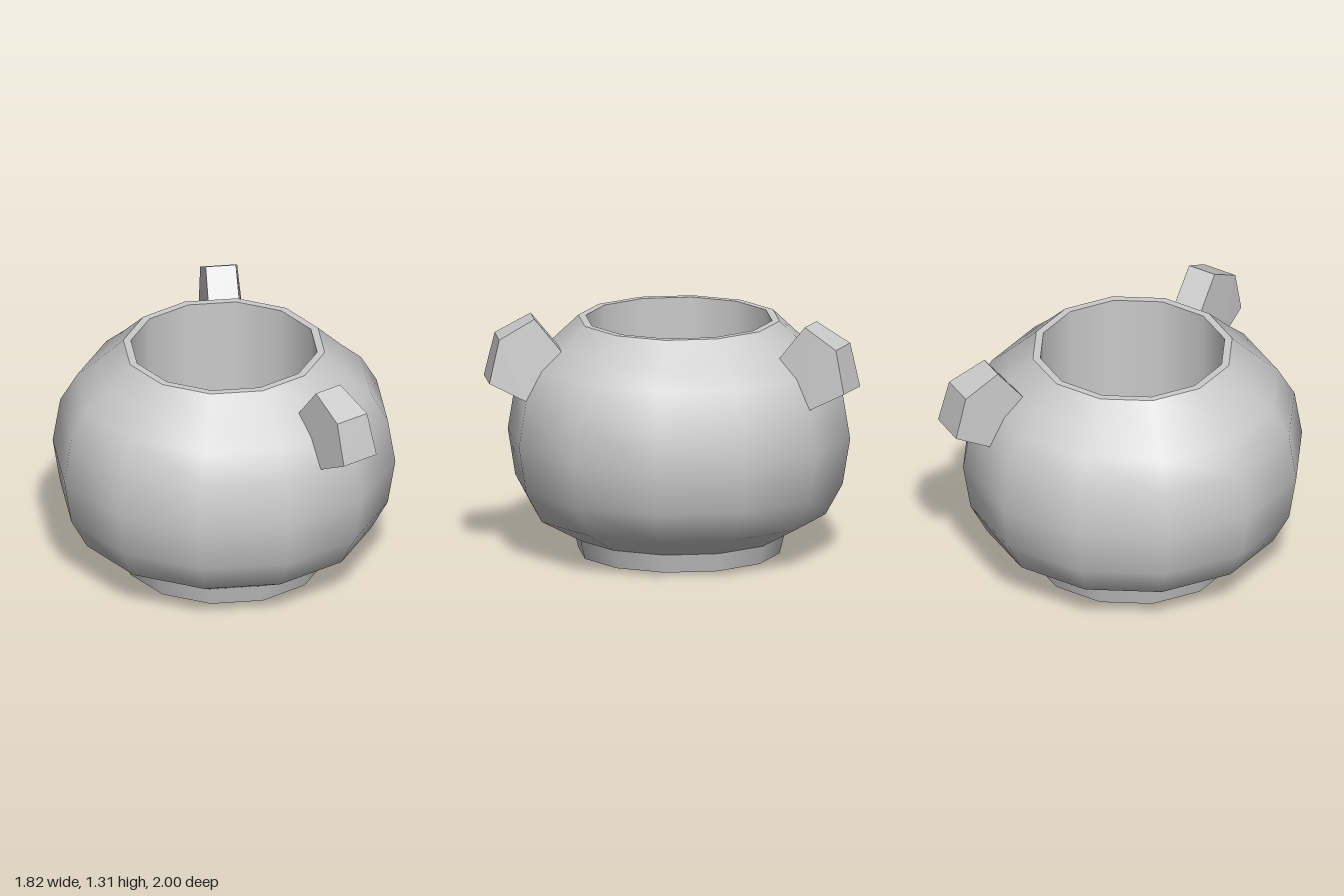
import * as THREE from 'three';
import { ConvexGeometry } from 'three/addons/geometries/ConvexGeometry.js';

export function createModel() {
  const group = new THREE.Group();
  const material = new THREE.MeshStandardMaterial({ color: 0xcccccc });
  const flat = new THREE.MeshStandardMaterial({ color: 0xcccccc, flatShading: true });

  const add = (name, geometry, mat = material) => {
    const mesh = new THREE.Mesh(geometry, mat);
    mesh.name = name;
    group.add(mesh);
    return mesh;
  };
  // Twelve-sided turned section; separate sections keep creases sharp
  const turn = (name, profile) =>
    add(name, new THREE.LatheGeometry(profile.map(([r, y]) => new THREE.Vector2(r, y)), 12));

  // Pot, outside from the base up and then inside down to the floor
  turn('base', [[0, 0], [0.535, 0]]);
  turn('foot', [[0.535, 0], [0.56, 0.1]]);
  turn('body', [
    [0.56, 0.1], [0.78, 0.22], [0.87, 0.385], [0.91, 0.63],
    [0.87, 0.875], [0.78, 1.03], [0.665, 1.13], [0.535, 1.255],
  ]);
  turn('rim', [[0.535, 1.255], [0.495, 1.255]]);
  turn('innerWall', [[0.495, 1.255], [0.495, 0.1]]);
  turn('floor', [[0.495, 0.1], [0, 0.1]]);

  // Five-sided lugs: each edge runs from x0, z0 to x1, z1 at height y
  const edges = [
    // x0, z0, x1, z1, y
    [0.17, 0.62, 0.33, 0.58, 1.13],
    [0.21, 0.76, 0.365, 0.718, 1.308],
    [0.255, 0.945, 0.445, 0.895, 1.207],
    [0.27, 1.0, 0.48, 0.942, 0.978],
    [0.215, 0.805, 0.43, 0.748, 0.873],
  ];
  for (const [name, side] of [['frontLug', 1], ['backLug', -1]]) {
    const points = edges.flatMap(([x0, z0, x1, z1, y]) => [
      new THREE.Vector3(x0, y, z0 * side),
      new THREE.Vector3(x1, y, z1 * side),
    ]);
    add(name, new ConvexGeometry(points), flat);
  }
  return group;
}
